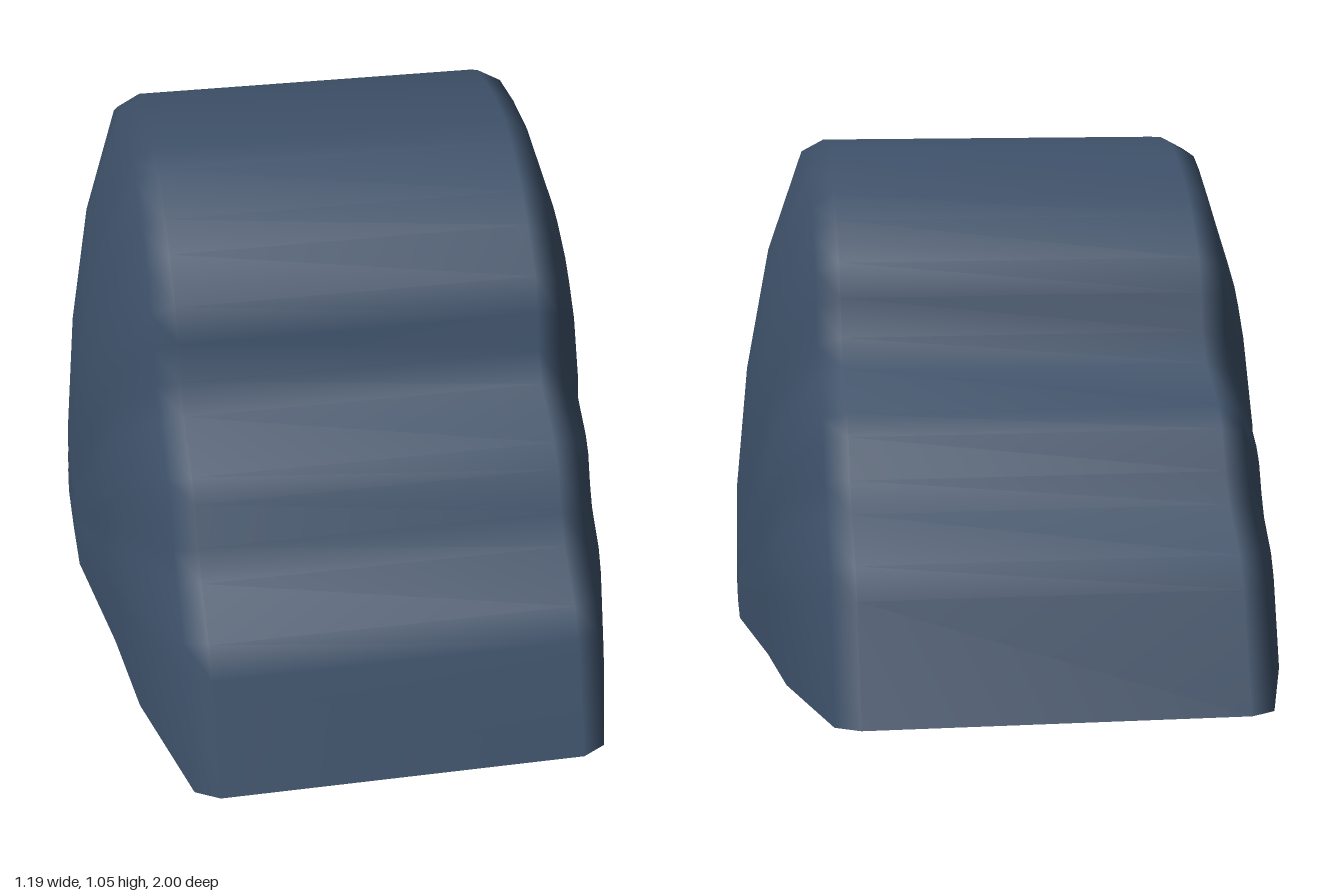
import * as THREE from 'three';
import { mergeVertices } from 'three/addons/utils/BufferGeometryUtils.js';

// Half of the stepped outline as [z, y], from the floor to the crest
const HALF = [
  [1, 0], [0.91, 0.23], [0.87, 0.29], [0.77, 0.37], [0.73, 0.43], [0.69, 0.51],
  [0.65, 0.55], [0.53, 0.62], [0.49, 0.68], [0.47, 0.76], [0.44, 0.83],
  [0.36, 0.91], [0.3, 0.96], [0.19, 1.02], [0.13, 1.045], [0, 1.053],
];
const OUTLINE = [...HALF, ...HALF.slice(0, -1).reverse().map(([z, y]) => [-z, y])];

// Bulging side: [depth scale, height scale, half width at floor, half width at crest]
const RINGS = [
  [1, 1, 0.38, 0.38], [0.972, 0.975, 0.43, 0.43], [0.68, 0.765, 0.51, 0.51],
  [0.45, 0.51, 0.54, 0.565], [0.15, 0.257, 0.593, 0.591], [0, 0, 0.594, 0.594],
];
const SECTIONS = [
  ...RINGS.map((r) => [-1, ...r]).reverse(),
  ...RINGS.map((r) => [1, ...r]),
];

// Skin the scaled outlines from one side to the other
function shellGeometry() {
  const positions = [];
  const index = [];
  const n = OUTLINE.length;
  for (const [side, sz, sy, floorX, crestX] of SECTIONS) {
    for (const [z, y] of OUTLINE) {
      const t = Math.atan2(y, Math.abs(z)) / (Math.PI / 2);
      positions.push(side * THREE.MathUtils.lerp(floorX, crestX, t), y * sy, z * sz);
    }
  }
  for (let i = 0; i < SECTIONS.length - 1; i++) {
    for (let j = 0; j < n - 1; j++) {
      const a = i * n + j;
      const b = a + n;
      index.push(a, b, a + 1, b, b + 1, a + 1);
    }
  }
  const geometry = new THREE.BufferGeometry();
  geometry.setAttribute('position', new THREE.Float32BufferAttribute(positions, 3));
  geometry.setIndex(index);
  const merged = mergeVertices(geometry);
  merged.computeVertexNormals();
  return merged;
}

// Flat underside following the floor outline
function baseGeometry() {
  const front = SECTIONS.map(([side, sz, , x]) => new THREE.Vector2(side * x, sz));
  const back = front.slice(1, -1).reverse().map((p) => new THREE.Vector2(p.x, -p.y));
  return new THREE.ShapeGeometry(new THREE.Shape([...front, ...back])).rotateX(Math.PI / 2);
}

export function createModel() {
  const slate = new THREE.MeshStandardMaterial({ color: 0x3d5068 });
  slate.name = 'slateBlue';

  const shell = new THREE.Mesh(shellGeometry(), slate);
  shell.name = 'steppedShell';
  const base = new THREE.Mesh(baseGeometry(), slate);
  base.name = 'base';

  const model = new THREE.Group();
  model.name = 'steppedMound';
  model.add(shell, base);
  return model;
}
